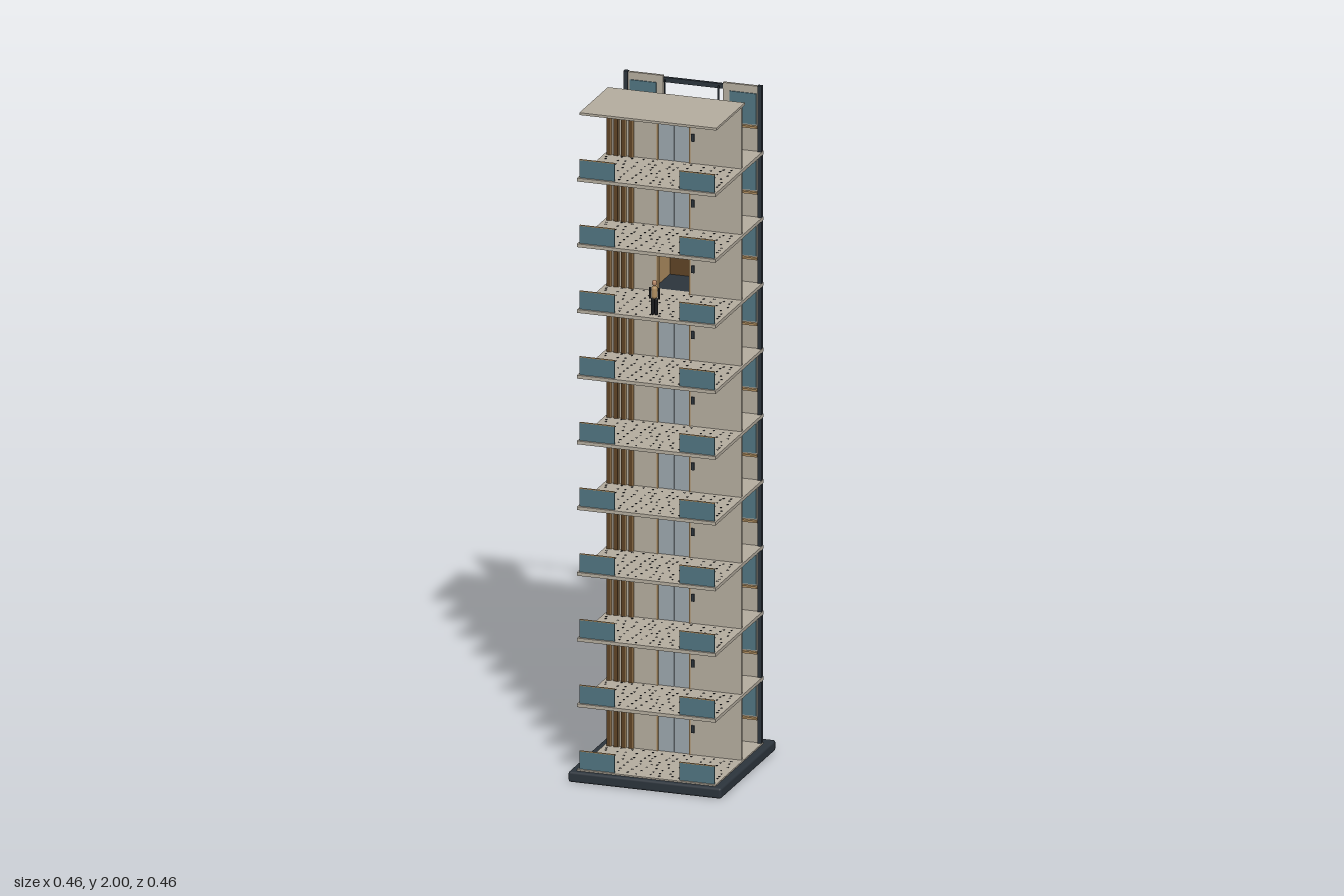
import * as THREE from 'three';
import { mergeGeometries } from 'three/addons/utils/BufferGeometryUtils.js';
import { RoundedBoxGeometry } from 'three/addons/geometries/RoundedBoxGeometry.js';

const mat = (name, color) => {
  const m = new THREE.MeshStandardMaterial({ color });
  m.name = name;
  return m;
};

const FLOORS = 10;
const PITCH = 0.1963;
const floorTop = (i) => 0.036 + PITCH * i;

export function createModel() {
  const concrete = mat('concrete', 0xb4ac9e);
  const dark = mat('dark steel', 0x2c343c);
  const black = mat('black', 0x16181b);
  const wood = mat('light wood', 0xae8d60);
  const brown = mat('dark wood', 0x5e4325);
  const glass = mat('teal glass', 0x507480);
  const door = mat('brushed door', 0x9ba6ac);
  const skin = mat('skin', 0xb98a68);

  const root = new THREE.Group();
  root.name = 'tower';

  // Box given by its limits on each axis
  const box = (parent, name, m, [x0, x1], [y0, y1], [z0, z1]) => {
    const mesh = new THREE.Mesh(new THREE.BoxGeometry(x1 - x0, y1 - y0, z1 - z0), m);
    mesh.position.set((x0 + x1) / 2, (y0 + y1) / 2, (z0 + z1) / 2);
    mesh.name = name;
    parent.add(mesh);
    return mesh;
  };
  // Limits mirrored to the chosen side
  const side = (s, a, b) => (s > 0 ? [a, b] : [-b, -a]);

  // Plinth
  const base = new THREE.Mesh(new RoundedBoxGeometry(0.46, 0.032, 0.464, 2, 0.007), dark);
  base.position.y = 0.016;
  base.name = 'base';
  root.add(base);

  // Floor speckles, shared by all storeys
  let seed = 7;
  const rnd = () => (seed = (seed * 16807) % 2147483647) / 2147483647;
  const dots = [];
  for (let i = 0; i < 13; i++) {
    for (let j = 0; j < 8; j++) {
      const g = new THREE.BoxGeometry(0.005, 0.001, 0.005);
      g.translate(-0.186 + i * 0.031 + (rnd() - 0.5) * 0.016, 0.0005, 0.005 + j * 0.027 + (rnd() - 0.5) * 0.014);
      dots.push(g);
    }
  }
  const speckleGeometry = mergeGeometries(dots);

  for (let i = 0; i < FLOORS; i++) {
    const storey = new THREE.Group();
    storey.name = 'storey' + (i + 1);
    storey.position.y = floorTop(i);
    root.add(storey);

    // Slab around the lift shaft
    box(storey, 'frontSlab', concrete, [-0.208, 0.208], [-0.01, 0], [-0.037, 0.218]);
    const speckles = new THREE.Mesh(speckleGeometry, black);
    speckles.name = 'floorSpeckles';
    storey.add(speckles);

    // Lobby wall with door opening
    box(storey, 'wallAboveDoor', concrete, [-0.05, 0.05], [0.145, 0.187], [-0.025, -0.015]);

    for (const s of [-1, 1]) {
      box(storey, 'backSlab', concrete, side(s, 0.09, 0.208), [-0.01, 0], [-0.19, -0.037]);
      box(storey, 'lobbyWall', concrete, side(s, 0.05, 0.203), [0, 0.187], [-0.025, -0.015]);
      box(storey, 'doorFrame', wood, side(s, 0.047, 0.051), [0, 0.148], [-0.026, -0.012]);

      // Front balustrade
      box(storey, 'railingGlass', glass, side(s, 0.097, 0.203), [0, 0.052], [0.208, 0.211]);
      box(storey, 'railingCap', wood, side(s, 0.097, 0.203), [0.052, 0.0545], [0.2075, 0.2115]);

      // Rear window and sill
      box(storey, 'rearWindow', glass, side(s, 0.11, 0.19), [0.08, 0.172], [-0.178, -0.175]);
      box(storey, 'windowSill', wood, side(s, 0.105, 0.195), [0.07, 0.076], [-0.178, -0.168]);

      // Ceiling lights under the next slab
      box(storey, 'ceilingLight', dark, side(s, 0.078, 0.084), [0.181, 0.186], [0.01, 0.15]);

      // Lift door leaves, absent where the car stands open
      if (i !== 7) box(storey, 'liftDoor', door, side(s, 0.0008, 0.047), [0, 0.145], [-0.023, -0.018]);
    }
    box(storey, 'doorHead', wood, [-0.051, 0.051], [0.144, 0.149], [-0.026, -0.012]);
    box(storey, 'floorIndicator', dark, [-0.022, 0.022], [0.153, 0.168], [-0.015, -0.009]);
    box(storey, 'callButton', dark, [0.053, 0.062], [0.066, 0.088], [-0.015, -0.011]);

    // Timber slats on one side of the lobby wall
    for (let k = 0; k < 4; k++) {
      const x = -0.2 + k * 0.022;
      box(storey, 'darkSlat', brown, [x, x + 0.012], [0, 0.182], [-0.015, -0.007]);
      box(storey, 'slatEdge', wood, [x + 0.012, x + 0.0145], [0, 0.182], [-0.015, -0.009]);
    }

    // Rear beam across the shaft
    box(storey, 'shaftBeam', dark, [-0.09, 0.09], [0.175, 0.189], [-0.189, -0.179]);
  }

  // Roof over the lobby
  box(root, 'roof', concrete, [-0.206, 0.206], [1.987, 1.994], [-0.037, 0.204]);

  // Full-height rear panels, corner posts and guide rails
  for (const s of [-1, 1]) {
    box(root, 'rearPanel', concrete, side(s, 0.09, 0.204), [0.03, 1.997], [-0.187, -0.178]);
    box(root, 'cornerPost', dark, side(s, 0.195, 0.207), [0.03, 2], [-0.185, -0.173]);
    box(root, 'guideRail', dark, side(s, 0.079, 0.083), [0.03, 1.99], [-0.168, -0.164]);
  }

  // Lift car, open at the front
  const car = new THREE.Group();
  car.name = 'liftCar';
  car.position.y = floorTop(7);
  root.add(car);
  for (const s of [-1, 1]) {
    box(car, 'carSide', wood, side(s, 0.066, 0.071), [0, 0.158], [-0.172, -0.028]);
  }
  box(car, 'carBack', brown, [-0.066, 0.066], [0, 0.158], [-0.172, -0.167]);
  box(car, 'carFloor', dark, [-0.071, 0.071], [-0.005, 0], [-0.172, -0.028]);
  box(car, 'carRoof', dark, [-0.071, 0.071], [0.158, 0.165], [-0.175, -0.028]);

  // Counterweight
  box(root, 'counterweight', dark, [0.082, 0.09], [0.447, 0.566], [-0.166, -0.114]);

  // Standing figure on the eighth storey
  const figure = new THREE.Group();
  figure.name = 'figure';
  figure.position.set(0.015, floorTop(7), 0.19);
  root.add(figure);
  const capsule = (name, m, r, len, x, y) => {
    const mesh = new THREE.Mesh(new THREE.CapsuleGeometry(r, len, 4, 10), m);
    mesh.position.set(x, y, 0);
    mesh.name = name;
    figure.add(mesh);
  };
  for (const s of [-1, 1]) {
    capsule('leg', black, 0.005, 0.042, s * 0.0055, 0.026);
    capsule('arm', black, 0.0033, 0.028, s * 0.0135, 0.065);
  }
  capsule('torso', wood, 0.0095, 0.02, 0, 0.068);
  capsule('head', skin, 0.007, 0.003, 0, 0.096);

  return root;
}
